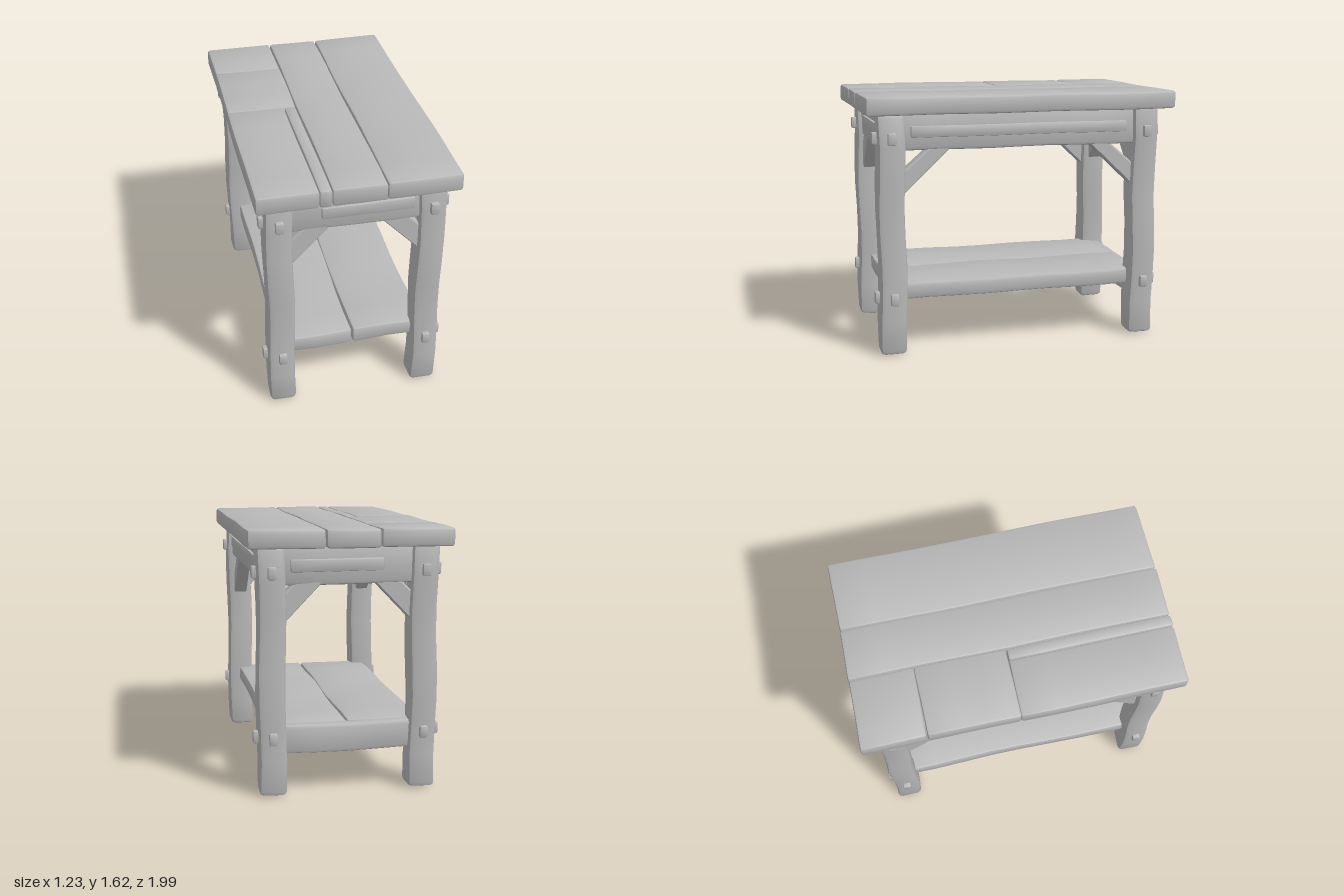
import * as THREE from 'three';
import { toCreasedNormals } from 'three/addons/utils/BufferGeometryUtils.js';

const wood = new THREE.MeshStandardMaterial({ color: 0xb8b8b8 });
wood.name = 'grey wood';

// Rounded, subdivided block between two corners, gently warped like hand-hewn timber
function hewn(name, min, max, r = 0.02, warp = 0.005) {
  const size = max.map((v, i) => v - min[i]);
  const mid = max.map((v, i) => (v + min[i]) / 2);
  const segs = size.map(s => 2 + Math.max(1, Math.round(s / 0.2)));
  const geo = new THREE.BoxGeometry(...size, ...segs);
  const pos = geo.attributes.position;
  const core = new THREE.Vector3(), d = new THREE.Vector3();
  for (let i = 0; i < pos.count; i++) {
    const p = [pos.getX(i), pos.getY(i), pos.getZ(i)];
    const q = [], c = [];
    for (let k = 0; k < 3; k++) {
      const h = size[k] / 2, inner = h - r, n = segs[k];
      const j = Math.round((p[k] / h + 1) / 2 * n);
      q[k] = j === 0 ? -h : j === n ? h : inner * (2 * (j - 1) / (n - 2) - 1);
      c[k] = THREE.MathUtils.clamp(q[k], -inner, inner);
    }
    core.fromArray(c);
    d.fromArray(q).sub(core);
    if (d.lengthSq() > 0) d.setLength(r);
    core.add(d);
    const x = core.x + mid[0], y = core.y + mid[1], z = core.z + mid[2];
    pos.setXYZ(i,
      x + warp * Math.sin(7 * y + 5 * z + 3 * mid[0]),
      y + warp * 0.6 * Math.sin(6 * x + 8 * z + 2 * mid[2]),
      z + warp * Math.sin(8 * y + 7 * x + 4 * mid[2]));
  }
  geo.deleteAttribute('normal');
  geo.deleteAttribute('uv');
  const mesh = new THREE.Mesh(toCreasedNormals(geo, 0.65), wood);
  mesh.name = name;
  return mesh;
}

// Diagonal brace: a sloped quadrilateral profile, extruded to a thickness
function brace(name, points, thickness) {
  const shape = new THREE.Shape(points.map(p => new THREE.Vector2(...p)));
  const b = 0.012;
  const geo = new THREE.ExtrudeGeometry(shape, {
    depth: thickness - 2 * b, bevelThickness: b, bevelSize: b, bevelOffset: -b, bevelSegments: 2,
  });
  geo.translate(0, 0, -(thickness - 2 * b) / 2);
  const mesh = new THREE.Mesh(geo, wood);
  mesh.name = name;
  return mesh;
}

export function createModel() {
  const model = new THREE.Group();
  model.name = 'rusticTable';
  const add = (...args) => model.add(hewn(...args));

  // Table top boards: [x0, x1, z0, z1]
  [
    [-0.61, -0.17, -0.995, -0.6],
    [-0.61, -0.17, -0.6, -0.035],
    [-0.61, -0.245, -0.035, 0.99],
    [-0.245, -0.17, -0.035, 0.99],
    [-0.168, 0.155, -0.995, 0.99],
    [0.157, 0.61, -0.995, 0.985],
  ].forEach(([x0, x1, z0, z1]) => add('topBoard', [x0, 1.505, z0], [x1, 1.617, z1], 0.018, 0.003));

  // Lower shelf boards and the stretcher under its back end
  add('shelfBoard', [-0.47, 0.335, -0.82], [0, 0.44, 0.83], 0.02, 0.006);
  add('shelfBoard', [0, 0.335, -0.82], [0.47, 0.44, 0.83], 0.02, 0.006);
  add('backStretcher', [-0.42, 0.255, -0.87], [0.42, 0.43, -0.77], 0.02, 0.006);

  // Legs with peg ends showing on the outer faces
  for (const sx of [-1, 1]) for (const sz of [-1, 1]) {
    const cx = sx * 0.463, cz = sz * 0.825;
    add('leg', [cx - 0.083, 0.005, cz - 0.083], [cx + 0.083, 1.515, cz + 0.083], 0.028, 0.006);
    for (const y of [0.365, 1.36]) {
      const px = sx * 0.54, pz = sz * 0.9;
      add('sidePeg', [px - 0.035, y - 0.037, cz - 0.025], [px + 0.035, y + 0.037, cz + 0.025], 0.008, 0.001);
      add('endPeg', [cx - 0.025, y - 0.037, pz - 0.035], [cx + 0.025, y + 0.037, pz + 0.035], 0.008, 0.001);
    }
  }

  // End aprons, each with a raised batten
  for (const s of [-1, 1]) {
    add('endApron', [-0.42, 1.28, s * 0.825 - 0.05], [0.42, 1.515, s * 0.825 + 0.05], 0.02, 0.005);
    add('endBatten', [-0.21, 1.36, s * 0.875 - 0.016], [0.35, 1.435, s * 0.875 + 0.016], 0.008, 0.002);
  }

  // Side aprons, each with a raised batten
  for (const s of [-1, 1]) {
    add('sideApron', [s * 0.46 - 0.05, 1.28, -0.78], [s * 0.46 + 0.05, 1.515, 0.78], 0.02, 0.005);
    add('sideBatten', [s * 0.51 - 0.016, 1.36, -0.7], [s * 0.51 + 0.016, 1.43, 0.7], 0.008, 0.002);
  }

  // Corner braces between legs and aprons
  const endProfile = [[0.40, 1.04], [0.40, 1.22], [0.31, 1.31], [0.14, 1.31]];
  const sideProfile = [[0.76, 1.0], [0.76, 1.145], [0.57, 1.31], [0.43, 1.31]];
  for (const s of [-1, 1]) for (const m of [0, Math.PI]) {
    const end = brace('endBrace', endProfile, 0.09);
    end.position.z = s * 0.825;
    end.rotation.y = m;
    const side = brace('sideBrace', sideProfile, 0.09);
    side.position.x = s * 0.46;
    side.rotation.y = m + Math.PI / 2;
    model.add(end, side);
  }
  return model;
}
